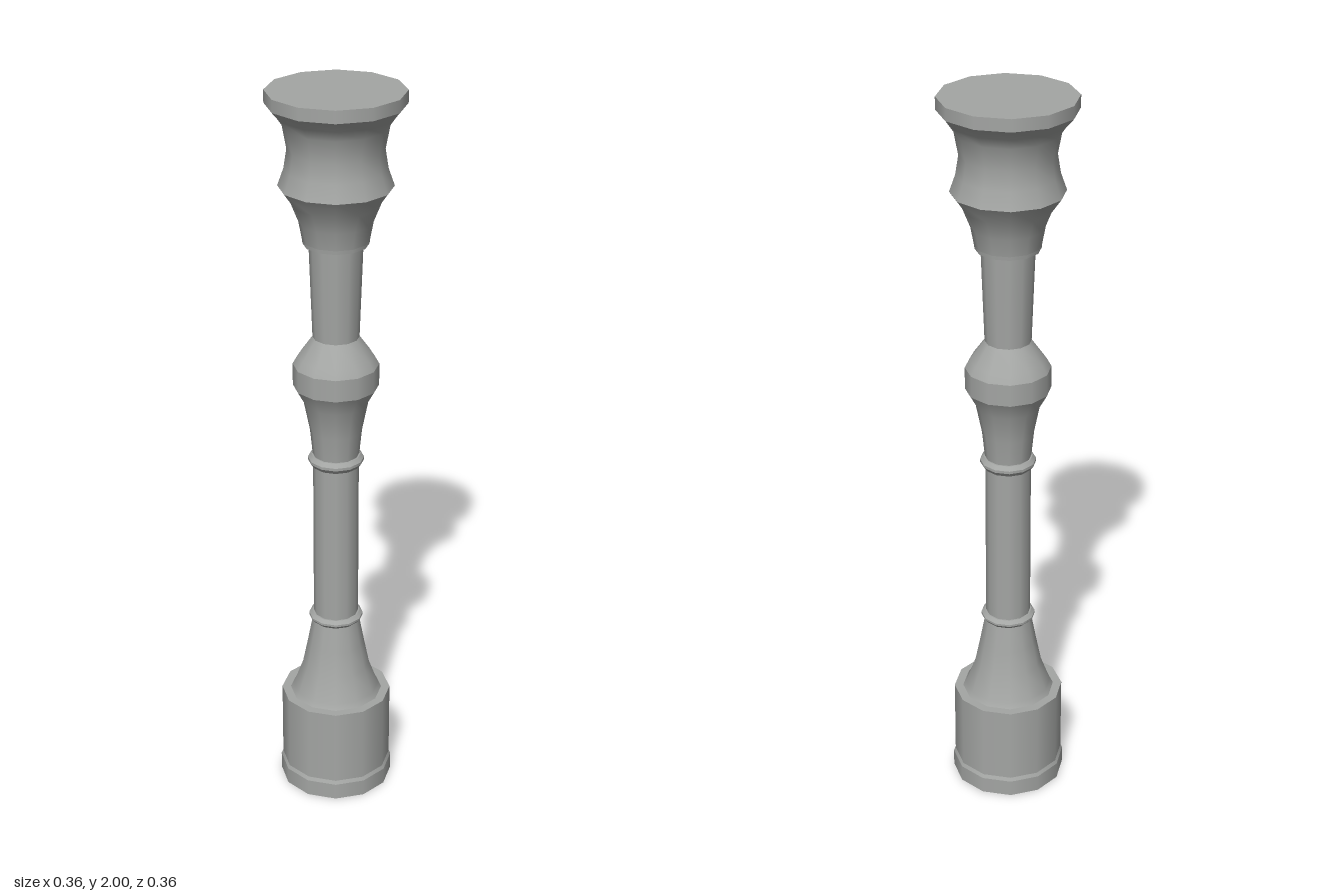
import * as THREE from 'three';
import { mergeGeometries } from 'three/addons/utils/BufferGeometryUtils.js';

const SIDES = 12;

export function createModel() {
  const group = new THREE.Group();
  group.name = 'turnedColumn';
  const material = new THREE.MeshStandardMaterial({ color: 0xa4a6a4 });

  // Turns [radius, height] profiles, listed bottom to top, around the y axis.
  // Each section is smooth in itself; a sharp edge lies where two sections meet.
  function turn(name, ...sections) {
    const lathes = sections.map(section =>
      new THREE.LatheGeometry(section.map(([r, y]) => new THREE.Vector2(r, y)), SIDES));
    const mesh = new THREE.Mesh(mergeGeometries(lathes), material);
    mesh.name = name;
    group.add(mesh);
  }

  // Thin bead with a bevelled rim around the shaft
  function ring(name, y0, y1, inner, outer) {
    const low = y0 + (y1 - y0) * 0.4, high = y0 + (y1 - y0) * 0.65;
    const edge = outer - 0.009;
    turn(name, [[inner, y0], [edge, y0]], [[edge, y0], [outer, low]],
      [[outer, low], [outer, high]], [[outer, high], [edge, y1]], [[edge, y1], [inner, y1]]);
  }

  // Drum with a slightly wider foot
  turn('base', [[0, 0], [0.156, 0]], [[0.156, 0], [0.156, 0.047]],
    [[0.156, 0.047], [0.151, 0.057]], [[0.151, 0.057], [0.151, 0.275]],
    [[0.151, 0.275], [0.12, 0.275]]);

  // Flared skirt above the drum
  turn('skirt', [[0.127, 0.275], [0.118, 0.29], [0.092, 0.36], [0.078, 0.43], [0.063, 0.51]]);

  // Slim shaft between two beads
  ring('lowerRing', 0.503, 0.527, 0.055, 0.074);
  turn('shaft', [[0.061, 0.505], [0.061, 1.0]]);
  ring('upperRing', 0.98, 1.01, 0.055, 0.075);

  // Swelling in the middle: flared stem, straight band, sloping shoulder
  turn('bulb', [[0.061, 1.0], [0.069, 1.08], [0.085, 1.16], [0.113, 1.21]],
    [[0.113, 1.21], [0.113, 1.27]],
    [[0.113, 1.27], [0.1, 1.293], [0.061, 1.347]]);

  // Neck widening upwards to the capital
  turn('neck', [[0.061, 1.347], [0.07, 1.605]]);

  // Double-flared capital with a flat top
  turn('capital', [[0.06, 1.602], [0.085, 1.602]], [[0.085, 1.602], [0.086, 1.612]],
    [[0.086, 1.612], [0.095, 1.66], [0.115, 1.71], [0.147, 1.755]],
    [[0.147, 1.755], [0.131, 1.8], [0.123, 1.85], [0.134, 1.91], [0.155, 1.94], [0.178, 1.967]],
    [[0.178, 1.967], [0.178, 2]], [[0.178, 2], [0, 2]]);

  return group;
}
